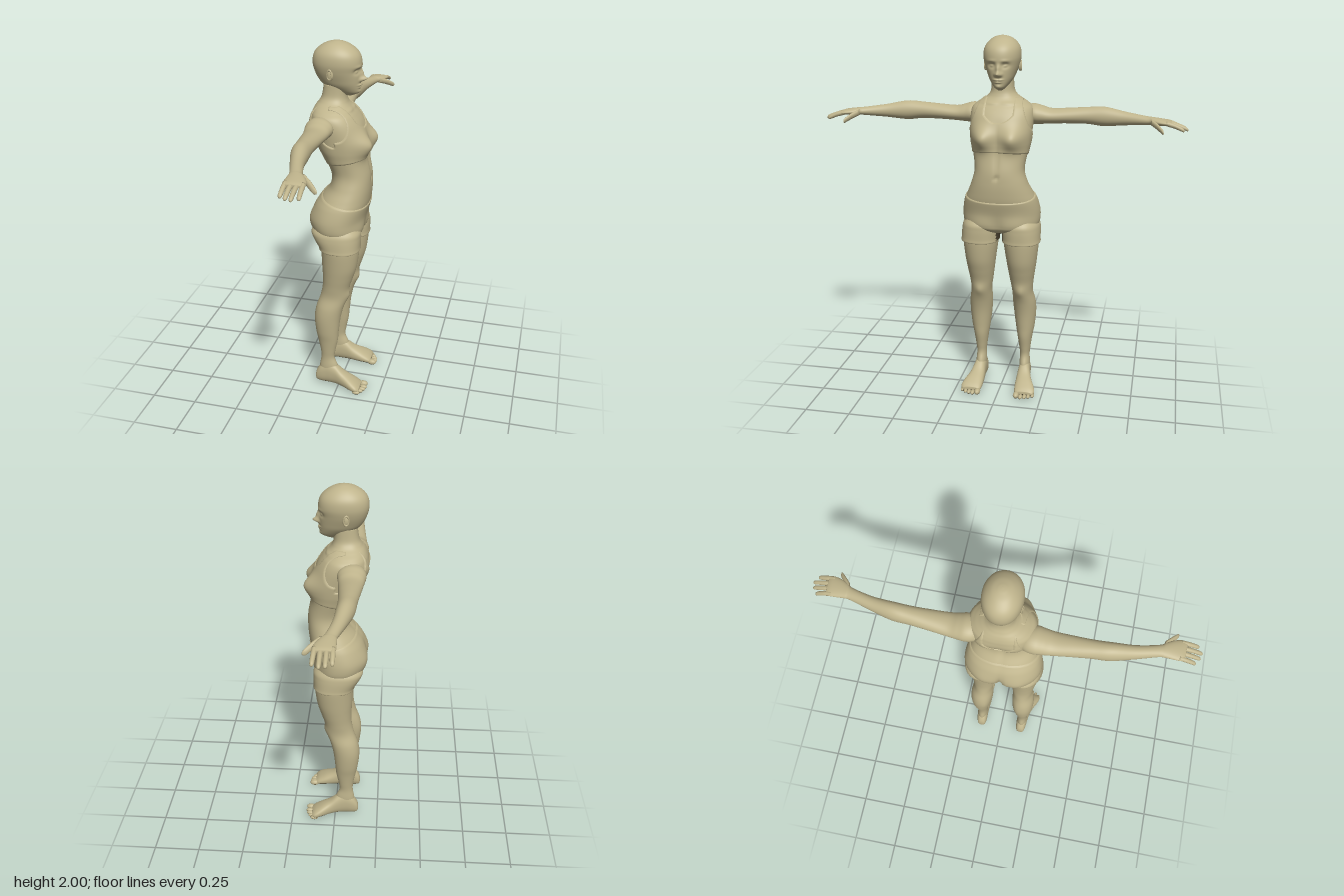
import * as THREE from 'three';

const skin = new THREE.MeshStandardMaterial({ color: 0xbfb48c });
skin.name = 'clay tan';
const under = new THREE.MeshStandardMaterial({ color: 0x4a4230 });
under.name = 'dark brown underside';

// How (position along axis, a, b) maps to x, y, z for each loft direction
const AXES = {
  x: (t, a, b) => [t, b, a],
  y: (t, a, b) => [a, t, b],
  z: (t, a, b) => [b, a, t],
};

// Smooth loft through stations [t, aMin, aMax, bMin, bMax], t increasing.
// bumps: [|x|, y, radiusX, radiusY, dz, side], side 1 = front, -1 = back (axis y only)
function loft(stations, { axis = 'y', n = 32, steps = 6, p = 2, bumps = [], from = -9, to = 9, grow } = {}) {
  const rows = [];
  const at = (i) => stations[Math.min(stations.length - 1, Math.max(0, i))];
  for (let i = 0; i < stations.length - 1; i++) {
    const last = i === stations.length - 2 ? 1 : 0;
    for (let s = 0; s < steps + last; s++) {
      const u = s / steps;
      rows.push(at(i).map((q, k) => {
        const o = at(i - 1)[k], r = at(i + 1)[k], w = at(i + 2)[k];
        return 0.5 * (2 * q + (r - o) * u + (2 * o - 5 * q + 4 * r - w) * u * u + (3 * q - o - 3 * r + w) * u ** 3);
      }));
    }
  }
  const used = rows.filter((r) => r[0] >= from && r[0] <= to);
  const pos = [], index = [];
  const power = (v) => Math.sign(v) * Math.abs(v) ** (2 / p);
  for (const [t, a0, a1, b0, b1] of used) {
    for (let j = 0; j < n; j++) {
      const th = (j / n) * Math.PI * 2, c = power(Math.cos(th)), d = power(Math.sin(th));
      let a = (a0 + a1) / 2 + (c * (a1 - a0)) / 2;
      let b = (b0 + b1) / 2 + (d * (b1 - b0)) / 2;
      const g = grow ? grow(a, t, d) : 0;
      for (const [x, y, rx, ry, dz, side] of bumps) {
        if (d * side <= 0) continue;
        const e = ((Math.abs(a) - x) / rx) ** 2 + ((t - y) / ry) ** 2;
        b += dz * Math.exp(-e) * Math.min(1, Math.abs(d) * 3);
      }
      a += g * Math.cos(th);
      b += g * Math.sin(th);
      pos.push(...AXES[axis](t, a, b));
    }
  }
  const m = used.length;
  for (let i = 0; i < m - 1; i++) {
    for (let j = 0; j < n; j++) {
      const k = (j + 1) % n, A = i * n + j, B = i * n + k;
      index.push(A, A + n, B, B, A + n, B + n);
    }
  }
  // End caps
  for (const [row, flip] of [[0, false], [m - 1, true]]) {
    const [t, a0, a1, b0, b1] = used[row];
    const centre = pos.length / 3;
    pos.push(...AXES[axis](t, (a0 + a1) / 2, (b0 + b1) / 2));
    for (let j = 0; j < n; j++) {
      const A = row * n + j, B = row * n + ((j + 1) % n);
      index.push(centre, ...(flip ? [B, A] : [A, B]));
    }
  }
  const geo = new THREE.BufferGeometry();
  geo.setAttribute('position', new THREE.Float32BufferAttribute(pos, 3));
  geo.setIndex(index);
  geo.computeVertexNormals();
  return geo;
}

// Puts the faces whose centre passes the test into a second, dark material group
function darken(geo, test) {
  const P = geo.attributes.position, ix = geo.index.array, light = [], dark = [];
  for (let i = 0; i < ix.length; i += 3) {
    const tri = [ix[i], ix[i + 1], ix[i + 2]];
    const mean = (get) => tri.reduce((sum, v) => sum + P[get](v) / 3, 0);
    (test(mean('getX'), mean('getY')) ? dark : light).push(...tri);
  }
  geo.setIndex([...light, ...dark]);
  geo.addGroup(0, light.length, 0);
  geo.addGroup(light.length, dark.length, 1);
  return geo;
}

function mirrored(geo) {
  const g = geo.clone().scale(-1, 1, 1);
  const ix = g.index.array;
  for (let i = 0; i < ix.length; i += 3) [ix[i], ix[i + 1]] = [ix[i + 1], ix[i]];
  g.computeVertexNormals();
  return g;
}

const ellipsoid = (x, y, z, rx, ry, rz) => new THREE.SphereGeometry(1, 20, 14).scale(rx, ry, rz).translate(x, y, z);

// Symmetric station helper: y, half width, back, front
const sym = ([y, w, back, front]) => [y, -w, w, back, front];

const TORSO = [
  [0.94, 0.015, -0.05, 0.04], [0.955, 0.1, -0.1, 0.08], [0.975, 0.175, -0.136, 0.106], [1.0, 0.203, -0.153, 0.115],
  [1.06, 0.208, -0.162, 0.121], [1.13, 0.195, -0.141, 0.14], [1.18, 0.175, -0.108, 0.148], [1.24, 0.15, -0.066, 0.152],
  [1.31, 0.134, -0.062, 0.149], [1.4, 0.148, -0.1, 0.13], [1.45, 0.158, -0.125, 0.125], [1.51, 0.165, -0.145, 0.122],
  [1.58, 0.17, -0.168, 0.1], [1.625, 0.162, -0.164, 0.072], [1.65, 0.136, -0.156, 0.05], [1.67, 0.105, -0.145, 0.034],
  [1.69, 0.078, -0.13, 0.022], [1.72, 0.062, -0.115, 0.015], [1.78, 0.058, -0.105, 0.015],
].map(sym);
const TORSO_BUMPS = [
  [0.082, 1.478, 0.054, 0.058, 0.048, 1], // bust
  [0, 1.275, 0.009, 0.013, -0.01, 1], // navel
  [0, 1.36, 0.012, 0.08, -0.006, 1], // midline of the belly
  [0, 1.36, 0.018, 0.15, 0.012, -1], // spine groove
  [0.085, 1.56, 0.04, 0.05, -0.008, -1], // shoulder blades
  [0.045, 1.655, 0.04, 0.01, 0.006, 1], // collarbones
  [0.1, 1.04, 0.06, 0.07, -0.012, -1], [0, 1.02, 0.018, 0.07, 0.024, -1], // buttocks and cleft
  [0.1, 1.0, 0.06, 0.06, 0.008, 1], [0, 0.99, 0.03, 0.05, -0.008, 1], // tops of the thighs
];
const HEAD = [
  [1.722, 0.012, 0.0, 0.045], [1.735, 0.028, -0.03, 0.072], [1.75, 0.042, -0.065, 0.082], [1.78, 0.063, -0.112, 0.085],
  [1.81, 0.076, -0.137, 0.087], [1.85, 0.09, -0.155, 0.088], [1.89, 0.098, -0.163, 0.093], [1.93, 0.095, -0.157, 0.085],
  [1.96, 0.08, -0.137, 0.062], [1.985, 0.053, -0.1, 0.024], [1.997, 0.024, -0.062, -0.012], [2.0, 0.004, -0.04, -0.032],
].map(sym);
const HEAD_BUMPS = [
  [0, 1.812, 0.013, 0.013, 0.03, 1], [0, 1.838, 0.012, 0.022, 0.016, 1], // nose
  [0.014, 1.808, 0.009, 0.009, 0.009, 1], // nostrils
  [0.036, 1.855, 0.018, 0.013, -0.015, 1], // eye sockets
  [0.036, 1.853, 0.011, 0.007, 0.011, 1], // eyelids
  [0.035, 1.878, 0.024, 0.008, 0.004, 1], // brows
  [0.01, 1.781, 0.014, 0.005, 0.01, 1], [0.006, 1.769, 0.014, 0.005, 0.008, 1], // lips
  [0, 1.745, 0.018, 0.012, 0.007, 1], // chin
];
const LEG = [
  [0.05, 0.102, 0.153, -0.11, -0.02], [0.12, 0.098, 0.158, -0.112, -0.005], [0.18, 0.1, 0.155, -0.103, -0.025],
  [0.23, 0.095, 0.16, -0.105, -0.02], [0.3, 0.085, 0.17, -0.118, -0.006], [0.365, 0.075, 0.182, -0.13, 0.0],
  [0.45, 0.065, 0.19, -0.137, 0.01], [0.52, 0.06, 0.188, -0.128, 0.026], [0.59, 0.06, 0.175, -0.105, 0.05],
  [0.655, 0.05, 0.18, -0.092, 0.06], [0.72, 0.04, 0.19, -0.09, 0.08], [0.79, 0.03, 0.2, -0.093, 0.1],
  [0.89, 0.016, 0.21, -0.098, 0.112], [0.95, 0.014, 0.208, -0.11, 0.11],
];
const SHORTS_LEG = [
  [0.892, 0.02, 0.208, -0.095, 0.108], [0.895, 0.01, 0.219, -0.105, 0.118], [0.915, 0.009, 0.218, -0.112, 0.118],
  [0.965, 0.004, 0.216, -0.142, 0.119], [1.0, 0.01, 0.208, -0.148, 0.114], [1.04, 0.04, 0.18, -0.11, 0.08],
];
// Arms and hands: x, back, front, bottom, top
const ARM = [
  [0.09, -0.13, -0.05, 1.55, 1.61], [0.13, -0.153, -0.025, 1.532, 1.634], [0.17, -0.16, -0.013, 1.53, 1.639],
  [0.21, -0.155, -0.018, 1.532, 1.629], [0.26, -0.148, -0.024, 1.536, 1.617], [0.35, -0.138, -0.03, 1.54, 1.622],
  [0.45, -0.128, -0.034, 1.541, 1.63], [0.54, -0.12, -0.03, 1.533, 1.635], [0.65, -0.09, -0.02, 1.545, 1.616],
  [0.76, -0.057, 0.006, 1.556, 1.602], [0.79, -0.054, 0.024, 1.56, 1.6], [0.83, -0.055, 0.044, 1.56, 1.596],
  [0.87, -0.055, 0.053, 1.562, 1.59], [0.89, -0.046, 0.046, 1.567, 1.583],
];
// Feet: z, bottom, top, inner, outer
const FOOT = [
  [-0.136, 0.035, 0.06, 0.118, 0.138], [-0.128, 0.018, 0.09, 0.104, 0.15], [-0.1, 0.012, 0.13, 0.097, 0.158],
  [-0.06, 0.012, 0.152, 0.096, 0.162], [-0.015, 0.011, 0.135, 0.095, 0.168], [0.03, 0.008, 0.1, 0.093, 0.182],
  [0.08, 0.003, 0.073, 0.093, 0.204], [0.115, 0.002, 0.052, 0.097, 0.212], [0.135, 0.008, 0.035, 0.104, 0.2],
];

// A tapering finger from root to tip, mostly along x
function finger(root, tip, r) {
  const station = (u, k, sag = 0) => {
    const [x, y, z] = root.map((v, i) => v + (tip[i] - v) * u);
    return [x, z - r * k, z + r * k, y + sag - r * k, y + sag + r * k];
  };
  return loft([station(0, 1), station(0.3, 1, 0.003), station(0.5, 0.97, 0.004), station(0.85, 0.85, 0.002), station(0.96, 0.6), station(1, 0.1)],
    { axis: 'x', n: 12, steps: 3 });
}

// Cloth stands off the skin inside its outline and sinks below it outside
const cloth = (inside) => THREE.MathUtils.clamp(inside * 1.5, -0.009, 0.005);

// Sports top: scooped neck, armholes and a hem that dips at the back
function topOutline(x, y, d) {
  const ax = Math.abs(x);
  const neck = y < 1.56 ? -1 : 0.075 * Math.sqrt(Math.min(1, (y - 1.56) / 0.04));
  const arm = d > 0 ? 0.178 - Math.max(0, y - 1.48) * 0.36 : 0.178 - Math.max(0, y - 1.45) * 0.45;
  return cloth(Math.min(ax - neck, arm - ax, y - (1.385 + 0.022 * d)));
}

// Shorts waistband, lower at the front
const waistOutline = (x, y, d) => cloth(1.16 - 0.024 * d - y);

export function createModel() {
  const model = new THREE.Group();
  const body = new THREE.Group();
  body.name = 'figure';
  body.rotation.y = Math.PI / 2; // the figure faces +x
  model.add(body);

  const add = (name, geo) => {
    const mesh = new THREE.Mesh(geo, geo.groups.length === 2 ? [skin, under] : skin);
    mesh.name = name;
    body.add(mesh);
  };
  const pair = (name, geo) => {
    add(name + 'Left', geo);
    add(name + 'Right', mirrored(geo));
  };

  // Torso, head and clothing
  const torso = { n: 80, steps: 8, p: 2.25, bumps: TORSO_BUMPS };
  add('torsoAndNeck', loft(TORSO, torso));
  add('head', loft(HEAD, { n: 112, steps: 9, p: 2.1, bumps: HEAD_BUMPS }));
  add('sportsTop', loft(TORSO, { ...torso, n: 160, steps: 16, from: 1.34, to: 1.68, grow: topOutline }));
  add('shortsSeat', darken(loft(TORSO, { ...torso, steps: 14, to: 1.21, grow: waistOutline }), (x, y) => y < 0.95));
  pair('shortsLeg', darken(loft(SHORTS_LEG, { n: 48, p: 2.3 }), (x, y) => x < 0.018 && y > 0.9));

  // Ears
  pair('ear', ellipsoid(0.09, 1.842, -0.05, 0.009, 0.027, 0.016));
  pair('earRim', new THREE.TorusGeometry(0.015, 0.004, 8, 20).scale(0.9, 1.6, 1).rotateY(Math.PI / 2 + 0.25).translate(0.095, 1.844, -0.053));

  // Legs, feet with dark soles, and toes
  pair('leg', loft(LEG, { n: 40, bumps: [[0.115, 0.605, 0.025, 0.03, 0.008, 1], [0.09, 0.46, 0.025, 0.07, -0.006, -1]] }));
  pair('foot', darken(loft(FOOT, { axis: 'z', n: 48, p: 2.3 }), (x, y) => y < 0.02));
  [[0.112, 0.144, 0.017], [0.138, 0.15, 0.012], [0.16, 0.145, 0.0115], [0.181, 0.135, 0.011], [0.202, 0.12, 0.011]]
    .forEach(([x, z, r], i) => pair('toe' + (i + 1),
      darken(ellipsoid(x, r + 0.001, z, r, r, i ? 0.022 : 0.027), (tx, ty) => ty < 0.009)));

  // Arms, hands and fingers
  pair('arm', loft(ARM, { axis: 'x', n: 36 }));
  [[-0.041, -0.043, 0.948], [-0.014, -0.014, 0.968], [0.013, 0.014, 0.975], [0.039, 0.045, 0.955]]
    .forEach(([z0, z1, tip], i) => pair('finger' + (i + 1), finger([0.862, 1.577, z0], [tip, 1.544, z1], 0.0122)));
  pair('thumb', finger([0.785, 1.578, 0.015], [0.852, 1.537, 0.09], 0.016));

  return model;
}
